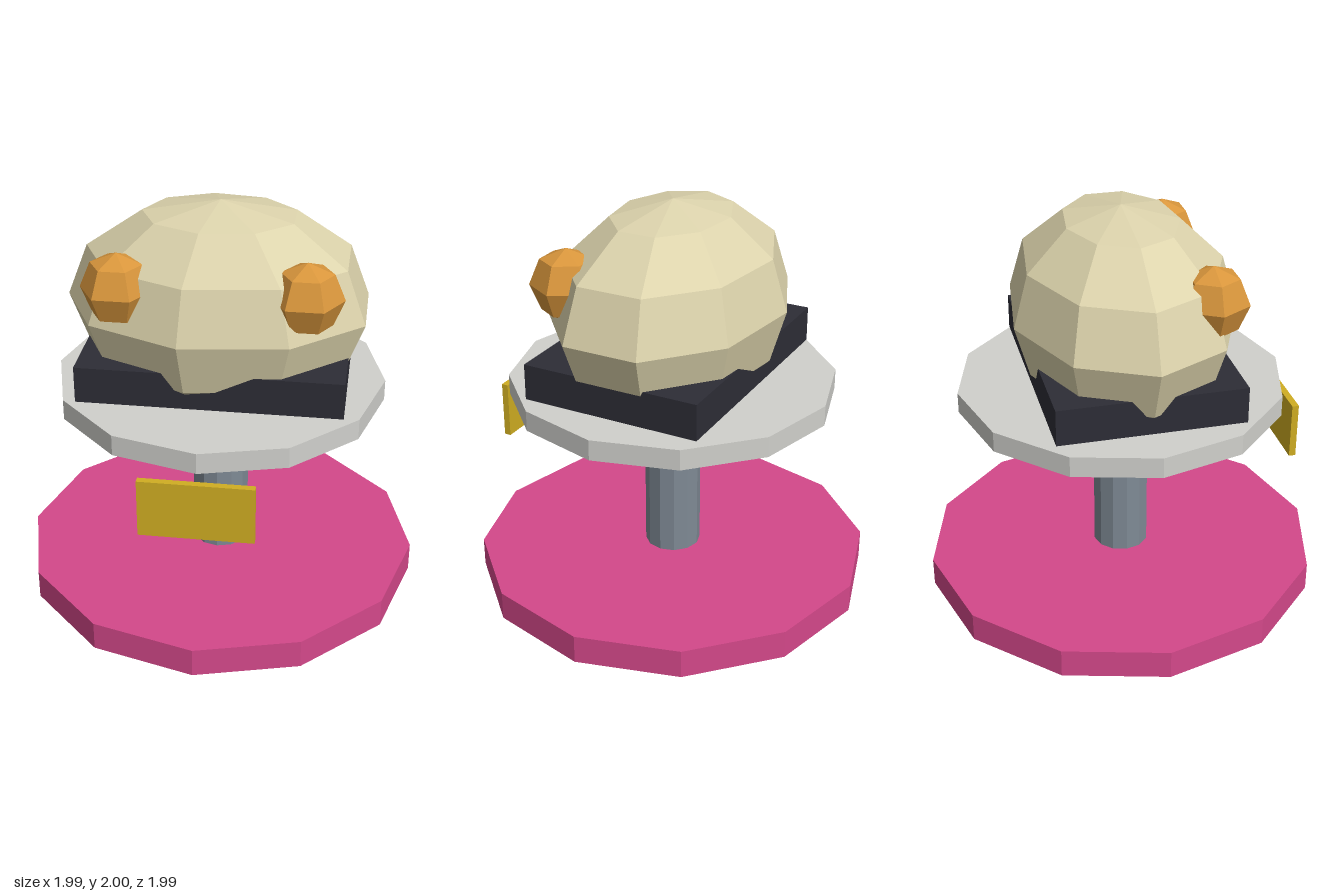
import * as THREE from 'three';

const paint = (name, color) => {
  const m = new THREE.MeshStandardMaterial({ color, flatShading: true });
  m.name = name;
  return m;
};

export function createModel() {
  const model = new THREE.Group();
  model.name = 'domeOnPedestal';

  const pink = paint('pink', 0xd4488a);
  const steel = paint('steel grey', 0x7f8a95);
  const silver = paint('light grey', 0xd0d0cc);
  const charcoal = paint('charcoal', 0x2d2d36);
  const cream = paint('cream', 0xdcd3ac);
  const amber = paint('amber', 0xd9963c);
  const gold = paint('gold', 0xd0ae22);

  const add = (name, geometry, material, x, y, z) => {
    const mesh = new THREE.Mesh(geometry, material);
    mesh.name = name;
    mesh.position.set(x, y, z);
    model.add(mesh);
    return mesh;
  };

  // Twelve-sided disc or column between two heights
  const disc = (name, r, y0, y1, material) =>
    add(name, new THREE.CylinderGeometry(r, r, y1 - y0, 12), material, 0, (y0 + y1) / 2, 0);

  // Pedestal
  disc('base', 0.997, 0, 0.145, pink);
  disc('post', 0.141, 0.145, 1.0, steel);
  disc('tray', 0.813, 1.0, 1.103, silver);

  // Block holding the dome
  add('block', new THREE.BoxGeometry(1.266, 0.18, 0.904), charcoal, 0, 1.215, 0);

  // Faceted, stretched dome
  const dome = new THREE.SphereGeometry(1, 9, 6);
  dome.scale(0.75, 0.52, 0.552);
  add('dome', dome, cream, 0, 1.48, 0);

  // Pair of faceted knobs on the front of the dome
  for (const [side, name] of [[1, 'leftKnob'], [-1, 'rightKnob']]) {
    add(name, new THREE.SphereGeometry(0.175, 6, 4), amber, side * 0.437, 1.665, 0.323);
  }

  // Plaque in front
  add('plaque', new THREE.BoxGeometry(0.54, 0.287, 0.034), gold, 0, 0.816, 0.832);

  return model;
}
